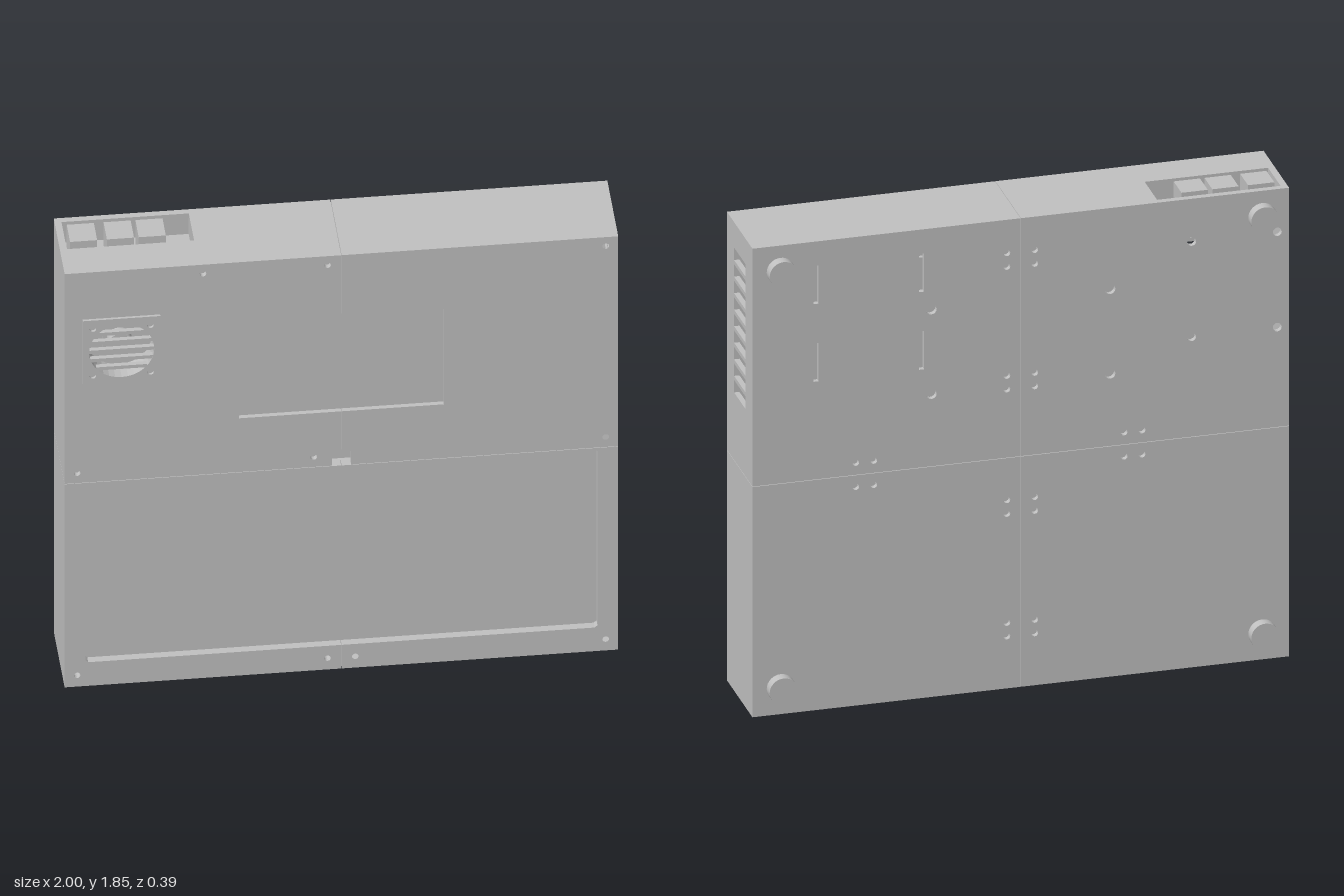
import * as THREE from 'three';

const H = 1.84, SEAM = 0.905, ZF = 0.185, ZB = -0.155, T = 0.02, G = 0.001;

export function createModel() {
  const root = new THREE.Group();
  root.name = 'wallCase';
  const grey = new THREE.MeshStandardMaterial({ color: 0xc0c0c0 });
  grey.name = 'grey plastic';

  const add = (name, geo, x = 0, y = 0, z = 0) => {
    const m = new THREE.Mesh(geo, grey);
    m.name = name;
    m.position.set(x, y, z);
    root.add(m);
    return m;
  };
  // box given by its limits
  const block = (name, x0, x1, y0, y1, z0, z1) =>
    add(name, new THREE.BoxGeometry(x1 - x0, y1 - y0, z1 - z0), (x0 + x1) / 2, (y0 + y1) / 2, (z0 + z1) / 2);
  const poly = (pts) => new THREE.Shape(pts.map(([x, y]) => new THREE.Vector2(x, y)));
  const rect = (x0, x1, y0, y1) => poly([[x0, y0], [x1, y0], [x1, y1], [x0, y1]]);
  const circle = (x, y, r) => new THREE.Path().absarc(x, y, r, 0, Math.PI * 2, true);
  const extrude = (shape, holes = [], depth = T, curveSegments = 8) => {
    shape.holes.push(...holes);
    return new THREE.ExtrudeGeometry(shape, { depth, bevelEnabled: false, curveSegments });
  };

  // front panels, two halves above and two below the seam
  const FAN = [-0.795, 1.49];
  for (const s of [-1, 1]) {
    const side = s > 0 ? 'left' : 'right';
    const scr = s * G;
    const upper = poly([
      [s, SEAM + G], [s * 0.035, SEAM + G], [s * 0.035, 0.965], [scr, 0.965], [scr, 1.145],
      [s * 0.37, 1.145], [s * 0.37, 1.57], [scr, 1.57], [scr, H], [s, H],
    ]);
    const holes = [[0.05, 1.8], [0.1, 0.95], [0.955, 0.95]].map(([x, y]) => circle(s * x, y, 0.012));
    holes.push(s > 0 ? circle(0.955, 1.8, 0.012) : circle(-0.5, 1.8, 0.012));
    if (s < 0) holes.push(circle(...FAN, 0.118));
    add(side + 'UpperFront', extrude(upper, holes, T, 16), 0, 0, ZF - T);

    const lower = poly([
      [s, 0], [scr, 0], [scr, 0.105], [s * 0.915, 0.105], [s * 0.925, 0.115],
      [s * 0.925, 0.89], [s * 0.915, 0.9], [scr, 0.9], [scr, SEAM - G], [s, SEAM - G],
    ]);
    const screws = [0.05, 0.955].map((x) => circle(s * x, 0.05, 0.012));
    add(side + 'LowerFrame', extrude(lower, screws, 0.03), 0, 0, ZF - 0.03);
  }

  // recessed tray, screen and latch plate
  block('tray', -0.94, 0.94, 0.09, 0.904, ZF - 0.045, ZF - 0.03);
  block('screen', -0.39, 0.39, 1.125, 1.59, ZF - 0.035, ZF - 0.018);
  block('latchPlate', -0.05, 0.05, 0.9, 0.985, ZF - 0.06, ZF - 0.045);

  // back panels with screw holes and hanging slots
  const backHoles = [];
  for (const y of [1.71, 1.656, 1.228, 1.175, 0.74, 0.686, 0.258, 0.205])
    for (const x of [-0.052, 0.052]) backHoles.push([x, y, 0.013]);
  for (const x of [0.615, 0.548, -0.385, -0.452])
    for (const y of [0.954, 0.859]) backHoles.push([x, y, 0.013]);
  for (const x of [-0.333, 0.333]) for (const y of [1.522, 1.19]) backHoles.push([x, y, 0.02]);
  for (const x of [-0.637, -0.956]) for (const y of [1.672, 1.298]) backHoles.push([x, y, 0.017]);
  for (const s of [-1, 1]) {
    for (const [y0, y1, part] of [[0, SEAM - G, 'Lower'], [SEAM + G, H, 'Upper']]) {
      const holes = backHoles
        .filter(([x, y]) => x * s > 0 && y > y0 && y < y1)
        .map((h) => circle(...h));
      if (s > 0 && y1 === H)
        for (const x of [0.763, 0.37])
          for (const y of [1.595, 1.29]) holes.push(rect(x - 0.01, x + 0.01, y, y + 0.15));
      const panel = rect(Math.min(s * G, s), Math.max(s * G, s), y0, y1);
      add((s > 0 ? 'left' : 'right') + part + 'Back', extrude(panel, holes), 0, 0, ZB);
    }
  }

  // side walls, the left one with nine vent slots
  const zi0 = ZB + T, zi1 = ZF - T;
  block('rightLowerSide', -1, -1 + T, 0, SEAM - G, zi0, zi1);
  block('rightUpperSide', -1, -1 + T, SEAM + G, H, zi0, zi1);
  block('leftLowerSide', 1 - T, 1, 0, SEAM - G, zi0, zi1);
  const vents = [];
  for (let i = 0; i < 9; i++) vents.push(rect(-0.09, 0.065, 1.171 + i * 0.065, 1.22 + i * 0.065));
  const vented = add('ventedSide', extrude(rect(-zi1, -zi0, SEAM + G, H), vents), 1 - T, 0, 0);
  vented.rotation.y = Math.PI / 2;

  // floor and top, the top with an opening for the buttons
  for (const [x0, x1, n] of [[-1 + T, -G, 'right'], [G, 1 - T, 'left']]) {
    block(n + 'Floor', x0, x1, 0, T, zi0, zi1);
    const top = add(n + 'Top',
      extrude(rect(x0, x1, -zi1, -zi0), n === 'right' ? [rect(-0.975, -0.515, -0.035, 0.13)] : []), 0, H - T, 0);
    top.rotation.x = -Math.PI / 2;
  }

  // button well and three square buttons
  block('wellFloor', -0.98, -0.505, 1.73, 1.745, -0.135, 0.045);
  block('wellFrontWall', -0.98, -0.505, 1.745, H - T, 0.035, 0.045);
  block('wellEndWall', -0.515, -0.505, 1.745, H - T, -0.135, 0.035);
  for (const x of [-0.91, -0.777, -0.662])
    block('button', x - 0.049, x + 0.049, 1.745, 1.845, -0.105, 0);

  // fan guard: square plate with a round hole, slats and screw holes
  const [fx, fy] = FAN;
  const guardHoles = [circle(fx, fy, 0.118)];
  for (const a of [-1, 1]) for (const b of [-1, 1]) guardHoles.push(circle(fx + a * 0.104, fy + b * 0.104, 0.012));
  add('fanGuard', extrude(rect(fx - 0.14, fx + 0.14, fy - 0.142, fy + 0.142), guardHoles, 0.01, 16), 0, 0, ZF);
  for (let i = -2; i <= 2; i++) {
    const w = Math.sqrt(0.119 ** 2 - (i * 0.038) ** 2);
    block('fanSlat', fx - w, fx + w, fy + i * 0.038 - 0.007, fy + i * 0.038 + 0.007, ZF - 0.01, ZF + 0.008);
  }
  // fan body behind the guard
  const fanBody = rect(fx - 0.135, fx + 0.135, fy - 0.135, fy + 0.135);
  add('fanBody', extrude(fanBody, [circle(fx, fy, 0.118)], 0.05, 16), 0, 0, ZF - T - 0.05);
  const hub = add('fanHub', new THREE.CylinderGeometry(0.045, 0.045, 0.04, 24), fx, fy, ZF - 0.05);
  hub.rotation.x = Math.PI / 2;
  block('fanMount', fx - 0.06, fx + 0.06, fy - 0.06, fy + 0.06, ZF - 0.08, ZF - 0.07);

  // round feet on the back
  for (const x of [-0.9, 0.895])
    for (const y of [0.105, 1.74]) {
      const foot = add('foot', new THREE.CylinderGeometry(0.052, 0.052, 0.04, 32), x, y, ZB - 0.02);
      foot.rotation.x = Math.PI / 2;
    }
  return root;
}
